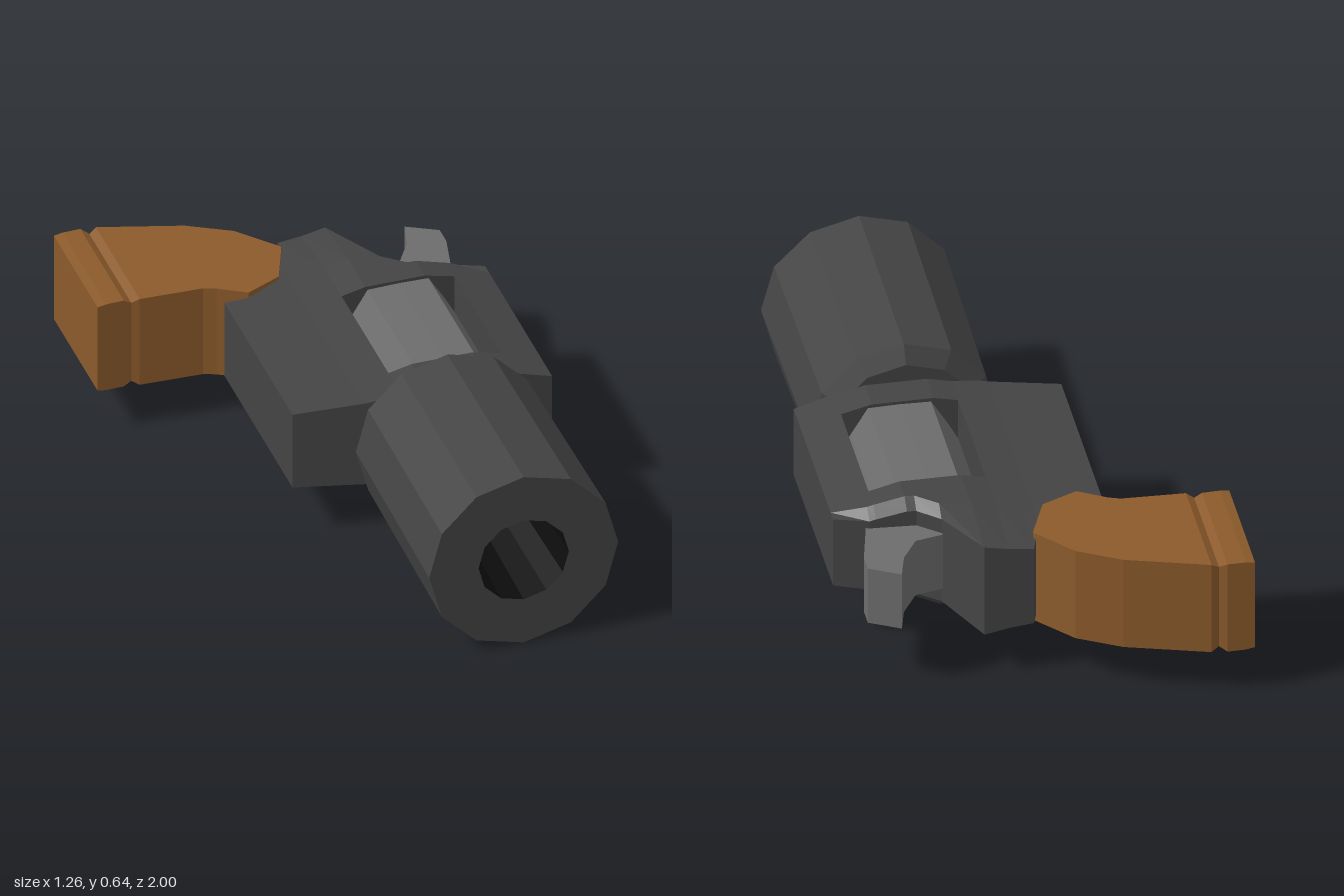
import * as THREE from 'three';

const MID_Y = 0.32; // height of the plane of symmetry
const mat = (color) => new THREE.MeshStandardMaterial({ color, flatShading: true });

function add(parent, name, geometry, material) {
  const mesh = new THREE.Mesh(geometry, material);
  mesh.name = name;
  parent.add(mesh);
  return mesh;
}

// Piecewise linear lookup in a list of [x, value] pairs
function at(table, x) {
  if (x <= table[0][0]) return table[0][1];
  for (let i = 1; i < table.length; i++) {
    const [x0, v0] = table[i - 1], [x1, v1] = table[i];
    if (x <= x1) return v0 + (v1 - v0) * (x - x0) / (x1 - x0);
  }
  return table[table.length - 1][1];
}

// Loft along x through mirrored cross-sections given as [z, half thickness], back to front
function loft(xs, section) {
  const pos = [], idx = [];
  let n = 0;
  for (const x of xs) {
    const half = section(x);
    const ring = [...half, ...half.map(([z, h]) => [z, -h]).reverse()];
    n = ring.length;
    for (const [z, h] of ring) pos.push(x, MID_Y + h, z);
  }
  const last = (xs.length - 1) * n;
  for (let i = 0; i < last; i += n) {
    for (let j = 0; j < n; j++) {
      const a = i + j, b = i + (j + 1) % n;
      idx.push(a, b, b + n, a, b + n, a + n);
    }
  }
  for (let j = 1; j < n - 1; j++) {
    idx.push(0, j + 1, j, last, last + j, last + j + 1);
  }
  const g = new THREE.BufferGeometry();
  g.setAttribute('position', new THREE.Float32BufferAttribute(pos, 3));
  g.setIndex(idx);
  g.computeVertexNormals();
  return g;
}

// Frame outline and thickness
const frameBack = [[-0.23, -0.49], [-0.15, -0.485], [-0.03, -0.54], [0.04, -0.755], [0.2, -0.755],
  [0.3, -0.55], [0.37, -0.49], [0.52, -0.48], [0.63, -0.44]];
const frameFront = [[-0.23, 0.18], [0.03, 0.22]];
const frameHalf = [[-0.23, 0.14], [0, 0.155], [0.12, 0.172], [0.2, 0.19], [0.4, 0.19], [0.5, 0.165], [0.63, 0.125]];
const frameStations = [-0.23, -0.15, -0.03, 0, 0.03, 0.04, 0.12, 0.2, 0.3, 0.37, 0.4, 0.5, 0.52, 0.63];
const WINDOW = { x0: 0.12, x1: 0.5, z0: -0.36, z1: 0.1 };

// Rear edge: thins along the tang and is bevelled beside the hammer
function frameRear(x) {
  const zb = at(frameBack, x), h = at(frameHalf, x);
  const drop = at([[-0.03, 0], [0.04, 0.02], [0.2, 0.025], [0.3, 0.035], [0.52, 0.03], [0.63, 0]], x);
  return [[zb, h - drop], [Math.max(zb + 0.04, -0.53), h]];
}

function buildFrame(material) {
  const frame = new THREE.Group();
  frame.name = 'frame';
  const span = (a, b) => frameStations.filter((x) => x >= a && x <= b);
  const full = (x) => [...frameRear(x), [at(frameFront, x), at(frameHalf, x)]];
  const rear = (x) => [...frameRear(x), [WINDOW.z0, at(frameHalf, x)]];
  const front = (x) => [[WINDOW.z1, at(frameHalf, x)], [at(frameFront, x), at(frameHalf, x)]];
  add(frame, 'frameGripSide', loft(span(-0.23, WINDOW.x0), full), material);
  add(frame, 'frameHammerSide', loft(span(WINDOW.x1, 0.63), full), material);
  add(frame, 'frameRearBar', loft(span(WINDOW.x0, WINDOW.x1), rear), material);
  add(frame, 'frameFrontBar', loft(span(WINDOW.x0, WINDOW.x1), front), material);
  return frame;
}

export function createModel() {
  const model = new THREE.Group();
  model.name = 'stubbyRevolver';
  const dark = mat(0x444444), steel = mat(0x6c6c6c), wood = mat(0x8b5a2b), black = mat(0x0d0d0d);

  // Twelve-sided barrel with a bored muzzle
  const turned = (points) => new THREE.LatheGeometry(points.map(([r, y]) => new THREE.Vector2(r, y)), 12)
    .rotateX(Math.PI / 2).translate(0.267, MID_Y, 0);
  add(model, 'barrel', turned([[0, 0.215], [0.25, 0.215], [0.308, 0.25], [0.318, 1], [0.152, 1]]), dark);
  add(model, 'bore', turned([[0.152, 1], [0.125, 0.3], [0, 0.3]]), black);

  model.add(buildFrame(dark));

  // Fluted cylinder in the frame window
  const flutes = new THREE.Shape();
  for (let i = 0; i < 12; i++) {
    const a = (i * Math.PI) / 6, r = i % 2 ? 0.18 : 0.205;
    flutes[i ? 'lineTo' : 'moveTo'](Math.cos(a) * r, Math.sin(a) * r);
  }
  add(model, 'cylinder', new THREE.ExtrudeGeometry(flutes, { depth: 0.47, bevelEnabled: false }), steel)
    .position.set(0.31, MID_Y, -0.365);

  // Curved grip with a groove near the butt
  const gripBack = [[-0.63, -0.998], [-0.54, -1], [-0.515, -0.985], [-0.49, -0.993], [-0.22, -0.91], [-0.08, -0.83], [0.03, -0.7]];
  const gripFront = [[-0.63, -0.568], [-0.515, -0.572], [-0.49, -0.563], [-0.28, -0.555], [-0.24, -0.54],
    [-0.15, -0.485], [-0.03, -0.54], [0.03, -0.69]];
  const gripHalf = [[-0.63, 0.16], [-0.6, 0.165], [-0.54, 0.165], [-0.515, 0.15], [-0.49, 0.165]];
  const gripStations = [-0.63, -0.6, -0.54, -0.515, -0.49, -0.28, -0.24, -0.22, -0.15, -0.08, -0.03, 0.03];
  add(model, 'grip', loft(gripStations, (x) => {
    const h = at(gripHalf, x);
    return [[at(gripBack, x), h], [at(gripFront, x), h]];
  }), wood);

  // Hammer, a curved spur
  const spur = new THREE.Shape([[0.28, -0.54], [0.3, -0.56], [0.39, -0.58], [0.445, -0.67], [0.47, -0.765],
    [0.57, -0.71], [0.57, -0.645], [0.53, -0.47], [0.36, -0.47]].map(([x, z]) => new THREE.Vector2(x, z)));
  add(model, 'hammer', new THREE.ExtrudeGeometry(spur, { depth: 0.205, bevelEnabled: false })
    .rotateX(Math.PI / 2).translate(0, MID_Y + 0.1025, 0), steel);

  return model;
}
